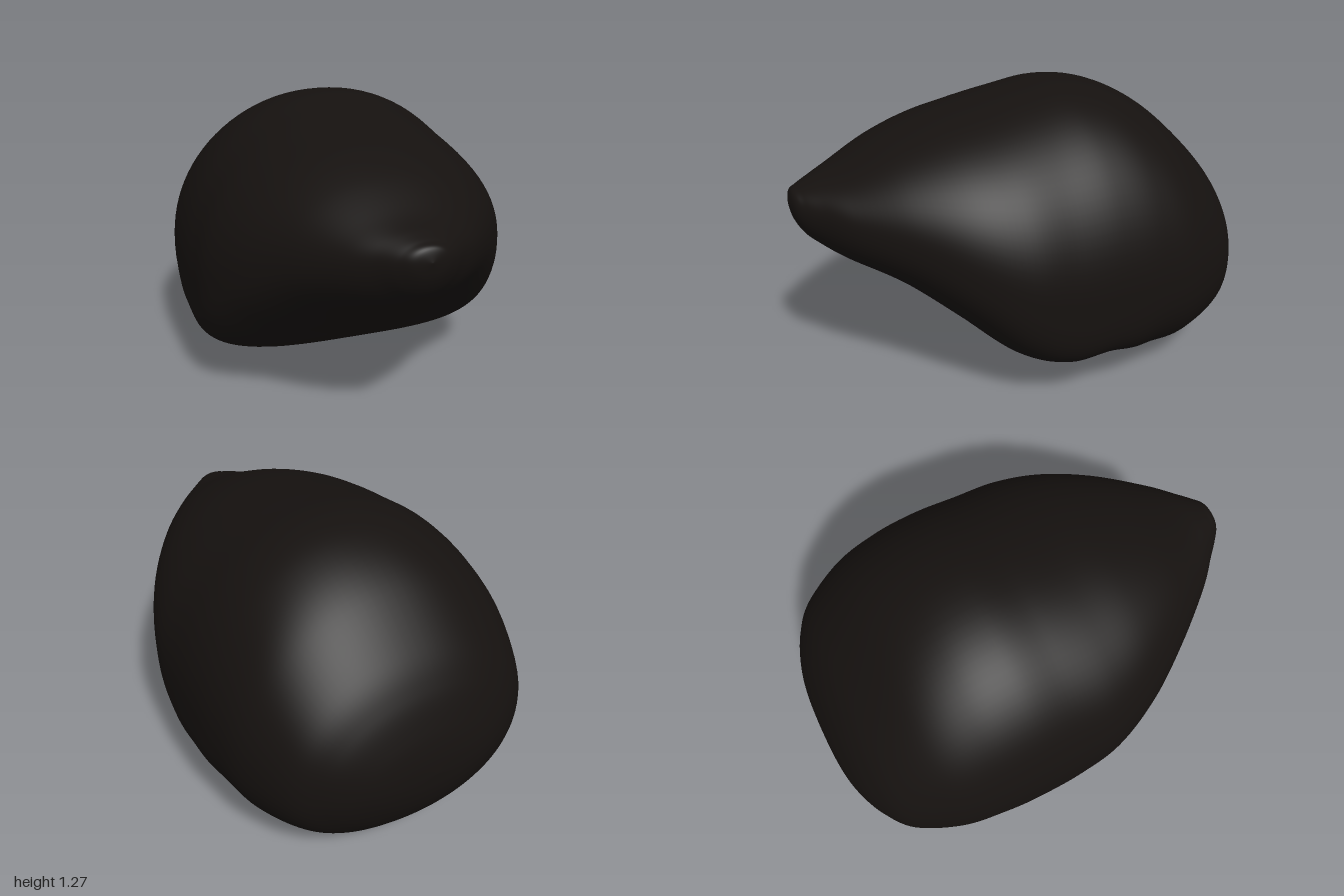
import * as THREE from 'three';

// Cross-sections from nose to back: z, top y, bottom y, half width, y of widest point, lower squareness
const stations = [
  [1.0, 0.89, 0.89, 0.0, 0.89, 2],
  [0.985, 0.94, 0.82, 0.07, 0.885, 2],
  [0.95, 0.957, 0.755, 0.12, 0.87, 2],
  [0.9, 0.975, 0.705, 0.175, 0.86, 2],
  [0.8, 1.01, 0.632, 0.285, 0.83, 2.1],
  [0.6, 1.1, 0.52, 0.455, 0.77, 2.3],
  [0.4, 1.165, 0.365, 0.595, 0.67, 2.7],
  [0.2, 1.207, 0.205, 0.68, 0.57, 3.5],
  [0.0, 1.245, 0.145, 0.702, 0.51, 4.4],
  [-0.2, 1.27, 0.15, 0.71, 0.5, 4.2],
  [-0.4, 1.237, 0.05, 0.705, 0.49, 2.7],
  [-0.6, 1.135, 0.003, 0.675, 0.48, 2.3],
  [-0.8, 0.95, 0.06, 0.585, 0.47, 2.2],
  [-0.9, 0.81, 0.15, 0.47, 0.47, 2.1],
  [-0.96, 0.67, 0.255, 0.34, 0.465, 2],
  [-0.99, 0.56, 0.36, 0.2, 0.46, 2],
  [-1.0, 0.46, 0.46, 0.0, 0.46, 2],
];

// Smooth curve through one column of the stations
const column = (i) =>
  new THREE.SplineCurve(stations.map((s, k) => new THREE.Vector2(k, s[i])));
const columns = [0, 1, 2, 3, 4, 5].map(column);

const power = (v, n) => Math.sign(v) * Math.pow(Math.abs(v), 2 / n);

// Skin of superellipse rings, closed by a single point at each end
function loft(rings, sides) {
  const positions = [];
  const indices = [];
  const addPoint = (s) => positions.push(0, s[1], s[0]);

  addPoint(stations[0]);
  for (let r = 1; r < rings; r++) {
    const [z, top, bottom, width, mid, square] = columns.map((c) => c.getPoint(r / rings).y);
    for (let k = 0; k < sides; k++) {
      const a = (k / sides) * Math.PI * 2;
      const upper = Math.sin(a) >= 0;
      const n = upper ? 2.1 : square;
      const height = upper ? top - mid : mid - bottom;
      positions.push(width * power(Math.cos(a), n), mid + height * power(Math.sin(a), n), z);
    }
  }
  addPoint(stations[stations.length - 1]);

  const last = positions.length / 3 - 1;
  const at = (r, k) => 1 + r * sides + (k % sides);
  for (let k = 0; k < sides; k++) {
    indices.push(0, at(0, k), at(0, k + 1));
    for (let r = 0; r < rings - 2; r++) {
      const a = at(r, k), b = at(r, k + 1), c = at(r + 1, k), d = at(r + 1, k + 1);
      indices.push(a, c, b, b, c, d);
    }
    indices.push(last, at(rings - 2, k + 1), at(rings - 2, k));
  }

  const geometry = new THREE.BufferGeometry();
  geometry.setAttribute('position', new THREE.Float32BufferAttribute(positions, 3));
  geometry.setIndex(indices);
  geometry.computeVertexNormals();
  return geometry;
}

export function createModel() {
  const group = new THREE.Group();
  const material = new THREE.MeshStandardMaterial({ color: 0x15110f });

  // One smooth body: pointed nose, domed top, rounded back with a lower lobe
  const body = new THREE.Mesh(loft(128, 96), material);
  body.name = 'body';
  group.add(body);

  return group;
}
